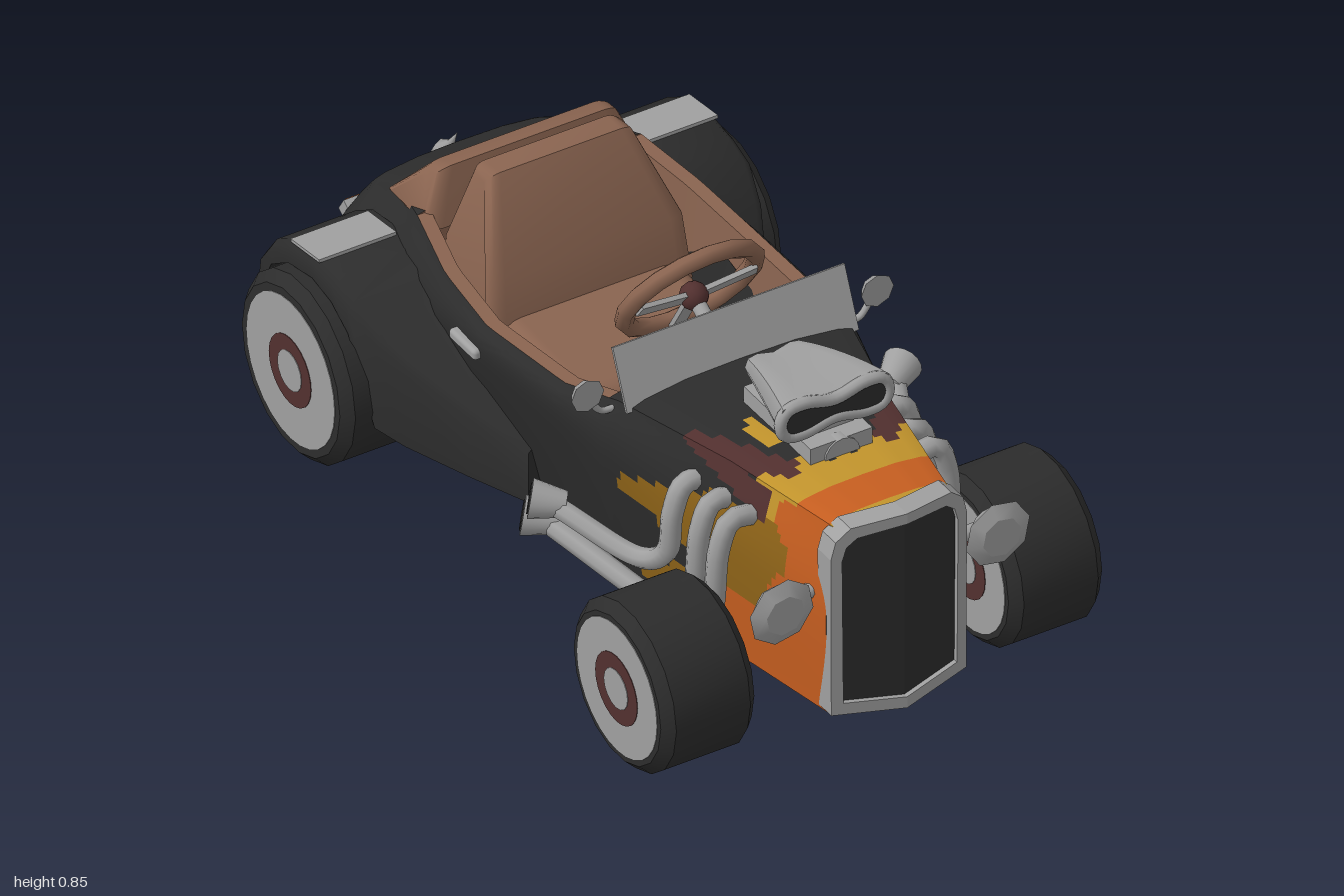
import * as THREE from 'three';
import { toCreasedNormals } from 'three/addons/utils/BufferGeometryUtils.js';
import { RoundedBoxGeometry } from 'three/addons/geometries/RoundedBoxGeometry.js';

const mat = (name, color) => new THREE.MeshStandardMaterial({ name, color });
const V3 = (x, y, z) => new THREE.Vector3(x, y, z);
const V2 = (x, y) => new THREE.Vector2(x, y);

// Body stations: z, bottom y, bottom half width, widest half width, its y, shoulder half width, shoulder y, crown
const STATIONS = [
  [0.945, 0.13, 0.168, 0.175, 0.42, 0.145, 0.62, 0.015],
  [0.6, 0.14, 0.24, 0.25, 0.45, 0.21, 0.62, 0.018],
  [0.27, 0.14, 0.285, 0.335, 0.49, 0.295, 0.612, 0.022],
  [0.1, 0.14, 0.285, 0.355, 0.49, 0.33, 0.57, 0.02],
  [-0.2, 0.15, 0.29, 0.368, 0.47, 0.345, 0.545, 0.02],
  [-0.4, 0.17, 0.29, 0.36, 0.45, 0.33, 0.56, 0.02],
  [-0.58, 0.19, 0.28, 0.34, 0.45, 0.29, 0.59, 0.02],
  [-0.75, 0.22, 0.27, 0.32, 0.42, 0.24, 0.555, 0.02],
  [-0.87, 0.24, 0.27, 0.305, 0.37, 0.22, 0.485, 0.02],
  [-0.935, 0.25, 0.26, 0.29, 0.33, 0.22, 0.405, 0.01],
  [-0.965, 0.27, 0.25, 0.27, 0.3, 0.22, 0.34, 0],
];
const COCKPIT_FRONT = 0.24, COCKPIT_BACK = -0.58, FLOOR = 0.3;

function stationAt(z) {
  let i = 0;
  while (i < STATIONS.length - 2 && z < STATIONS[i + 1][0]) i++;
  const a = STATIONS[i], b = STATIONS[i + 1], t = (a[0] - z) / (a[0] - b[0]);
  return a.map((v, k) => v + (b[k] - v) * t);
}

function bodyRing(z, open) {
  const [, yb, wb, ws, ym, wr, yt, crown] = stationAt(z);
  const side = new THREE.SplineCurve([V2(wb, yb), V2(ws, ym), V2(wr, yt)]).getPoints(24);
  const p4 = open ? V2(wr - 0.035, yt) : V2(wr * 0.88, yt + crown * 0.4);
  const p5 = open ? V2(wr - 0.05, FLOOR) : V2(wr * 0.5, yt + crown * 0.9);
  const p6 = V2(0, open ? FLOOR : yt + crown);
  const half = [V2(0, yb), ...side, p4];
  for (let k = 1; k <= 4; k++) half.push(p4.clone().lerp(p5, k / 4));
  for (let k = 1; k <= 5; k++) half.push(p5.clone().lerp(p6, k / 5));
  const mirrored = half.slice(1, -1).reverse().map((p) => V2(-p.x, p.y));
  return [...half, ...mirrored].map((p) => V3(p.x, p.y, z));
}

// Flame paint on the hood, and trim in the cockpit. 0 black, 1 orange, 2 yellow, 3 mustard, 4 maroon, 5 leather
function bodyPaint(x, y, z, j) {
  if (z < COCKPIT_FRONT && z > COCKPIT_BACK - 0.005) return j >= 25 && j < 30 ? 5 : 0;
  if (z < 0.27 || j === 0) return 0;
  const ax = Math.abs(x);
  if (j >= 24) {
    if (z > 0.925) return 2;
    if (z > 0.81) return 1;
    if (z > 0.71 + 0.03 * Math.sin(ax * 60)) return 2;
    if (z > 0.46 && Math.abs(ax - 0.13 - 0.5 * (0.72 - z)) < 0.04) return 4;
    return ax > 0.09 && ax < 0.125 && z > 0.5 && z < 0.62 ? 2 : 0;
  }
  if (z > 0.79 + 0.03 * Math.sin(y * 30)) return 1;
  if (y < 0.3 && z > 0.56) return 1;
  if (y > 0.54) return z > 0.74 ? 2 : z > 0.46 + (0.61 - y) * 3.5 ? 4 : 0;
  return z > 0.43 - 0.13 * Math.cos((y - 0.22) * 30) ? 3 : 0;
}

function bodyGeometry() {
  const rings = [];
  const run = (from, to, n, open) => {
    for (let i = 0; i <= n; i++) rings.push(bodyRing(from + ((to - from) * i) / n, open));
  };
  run(0.945, COCKPIT_FRONT, 54, false);
  run(COCKPIT_FRONT - 0.001, COCKPIT_BACK, 24, true);
  run(COCKPIT_BACK - 0.001, -0.965, 20, false);
  rings.unshift(rings[0].map((p) => V3(0, 0.4, p.z)));
  rings.push(rings[rings.length - 1].map((p) => V3(0, 0.3, p.z)));
  const n = rings[0].length, half = n / 2, lists = [[], [], [], [], [], []];
  for (let i = 0; i < rings.length - 1; i++) for (let j = 0; j < n; j++) {
    const k = (j + 1) % n, a = i * n + j, b = i * n + k, d = a + n, c = b + n;
    const m = rings[i][j].clone().add(rings[i + 1][k]).multiplyScalar(0.5);
    const paint = i === 0 ? 0 : bodyPaint(m.x, m.y, m.z, j < half ? j : n - 1 - j);
    lists[paint].push(a, d, c, a, c, b);
  }
  const g = new THREE.BufferGeometry().setFromPoints(rings.flat());
  g.setIndex(lists.flat());
  let start = 0;
  lists.forEach((l, k) => { g.addGroup(start, l.length, k); start += l.length; });
  return toCreasedNormals(g, 0.7);
}

// Rear fender: z, outer x, top y, lowest y, rise towards the body; the underside follows the wheel
function fenderGeometry() {
  const rows = [[-0.05, 0.33, 0.3, 0.15, 0.12], [-0.2, 0.395, 0.33, 0.155, 0.12], [-0.35, 0.465, 0.39, 0.17, 0.1], [-0.42, 0.5, 0.43, 0.19, 0.08],
    [-0.5, 0.52, 0.485, 0.2, 0.035], [-0.57, 0.52, 0.51, 0.2, 0.01], [-0.65, 0.52, 0.52, 0.2, 0], [-0.75, 0.52, 0.505, 0.2, 0],
    [-0.82, 0.52, 0.46, 0.2, 0], [-0.88, 0.51, 0.385, 0.2, 0], [-0.91, 0.5, 0.27, 0.22, 0]];
  const pts = [], idx = [];
  for (const [z, xo, yt, yl, rise] of rows) {
    const dz = Math.abs(z + 0.655);
    const yb = dz < 0.235 ? 0.23 + Math.sqrt(0.0552 - dz * dz) : yl;
    pts.push(V3(0.26, yb, z), V3(xo, Math.min(yb, yt - 0.01), z), V3(xo, yt - 0.015, z), V3(xo - 0.015, yt, z), V3(0.3, yt + rise, z));
  }
  for (let i = 0; i < rows.length - 1; i++) for (let j = 0; j < 5; j++) {
    const a = i * 5 + j, b = i * 5 + ((j + 1) % 5);
    idx.push(a, a + 5, b + 5, a, b + 5, b);
  }
  const e = (rows.length - 1) * 5;
  for (let j = 1; j < 4; j++) idx.push(0, j, j + 1, e, e + j + 1, e + j);
  const g = new THREE.BufferGeometry().setFromPoints(pts);
  g.setIndex(idx);
  return toCreasedNormals(g, 0.9);
}

// Side profile of [z, y] points pushed across x, narrowing towards the top
function upholstery(points, width, y0, taper) {
  const g = new THREE.ExtrudeGeometry(new THREE.Shape(points.map((p) => V2(...p))),
    { depth: width - 0.08, bevelSize: 0.02, bevelThickness: 0.04, bevelSegments: 4 });
  g.translate(0, 0, 0.04 - width / 2).rotateY(-Math.PI / 2);
  const p = g.attributes.position;
  for (let i = 0; i < p.count; i++) p.setX(i, p.getX(i) * (1 - taper * Math.max(0, p.getY(i) - y0)));
  return toCreasedNormals(g, 0.9);
}

export function createModel() {
  const car = new THREE.Group();
  const black = mat('black', 0x2c2c2c), chrome = mat('chrome', 0xa0a0a0), leather = mat('leather', 0x8a6450);
  const orange = mat('orange', 0xc65e20), yellow = mat('yellow', 0xc2942c), mustard = mat('mustard', 0x8f6418), maroon = mat('maroon', 0x52302f);
  const add = (name, geo, m, x = 0, y = 0, z = 0, rx = 0, ry = 0, rz = 0, parent = car) => {
    const mesh = new THREE.Mesh(geo, m);
    mesh.name = name;
    mesh.position.set(x, y, z);
    mesh.rotation.set(rx, ry, rz);
    parent.add(mesh);
    return mesh;
  };
  const box = (w, h, d) => new THREE.BoxGeometry(w, h, d);
  const cyl = (r1, r2, h, n = 16) => new THREE.CylinderGeometry(r1, r2, h, n);
  const tube = (pts, r, closed = false, n = 32) => new THREE.TubeGeometry(
    new THREE.CatmullRomCurve3(pts.map((p) => V3(...p)), closed), n, r, 8, closed);

  add('body', bodyGeometry(), [black, orange, yellow, mustard, maroon, leather]);

  // Wheels
  const wheel = (x, r, z, disc) => {
    const g = new THREE.Group();
    g.name = 'wheel';
    g.position.set(x, r, z);
    g.rotation.z = -Math.PI / 2;
    const profile = [[0.05, -0.121], [r - 0.025, -0.121], [r, -0.096], [r, 0.096], [r - 0.025, 0.121], [0.05, 0.121]];
    add('tyre', toCreasedNormals(new THREE.LatheGeometry(profile.map((p) => V2(...p)), 18), 0.5), black, 0, 0, 0, 0, 0, 0, g);
    add('wheelDisc', cyl(disc, disc, 0.245, 28), chrome, 0, 0, 0, 0, 0, 0, g);
    add('wheelRing', cyl(0.088, 0.088, 0.248, 24), maroon, 0, 0, 0, 0, 0, 0, g);
    add('hubCap', cyl(0.05, 0.05, 0.251), chrome, 0, 0, 0, 0, 0, 0, g);
    car.add(g);
  };
  for (const s of [1, -1]) {
    wheel(s * 0.45, 0.207, 0.71, 0.168);
    wheel(s * 0.45, 0.23, -0.655, 0.185);
  }

  // Seat, rear cushion and upholstered back
  add('seatCushion', new RoundedBoxGeometry(0.49, 0.14, 0.42, 3, 0.06), leather, 0, 0.355, -0.2, 0.06);
  add('seatBack', upholstery([[-0.33, 0.38], [-0.355, 0.53], [-0.46, 0.715], [-0.5, 0.71], [-0.525, 0.55], [-0.525, 0.38]], 0.53, 0.5, 1.3), leather);
  add('rearCushion', upholstery([[-0.575, 0.57], [-0.6, 0.665], [-0.625, 0.66], [-0.71, 0.575]], 0.56, 0.57, 1.6), leather);

  // Windshield and steering wheel
  add('windshield', box(0.6, 0.155, 0.008), chrome, 0, 0.675, 0.28, -0.4);
  const steering = new THREE.Group();
  steering.name = 'steeringWheel';
  steering.position.set(0, 0.695, 0.09);
  steering.rotation.x = 0.53;
  add('steeringRim', new THREE.TorusGeometry(0.163, 0.022, 8, 16), leather, 0, 0, 0, 0, 0, 0, steering);
  for (const a of [0.2, Math.PI - 0.2, -Math.PI / 2])
    add('steeringSpoke', box(0.15, 0.034, 0.012), chrome, 0.08 * Math.cos(a), 0.08 * Math.sin(a), 0.02, 0, 0, a, steering);
  add('steeringHub', new THREE.SphereGeometry(0.034, 12, 8), maroon, 0, 0, 0.02, 0, 0, 0, steering);
  add('steeringColumn', cyl(0.018, 0.018, 0.18), chrome, 0, 0, 0.12, Math.PI / 2, 0, 0, steering);
  car.add(steering);

  // Radiator shell: two halves swept back from a centre ridge
  const outer = [[0, 0.115], [0.175, 0.138], [0.176, 0.56], [0.165, 0.605], [0.13, 0.635], [0, 0.642]];
  const inner = [[0, 0.145], [0.147, 0.165], [0.15, 0.55], [0.14, 0.585], [0.115, 0.605], [0, 0.614]];
  for (const s of [1, -1]) {
    const half = (pts, depth, z) => {
      const g = new THREE.ExtrudeGeometry(new THREE.Shape(pts.map((p) => V2(s * p[0], p[1]))), { depth, bevelEnabled: false });
      const p = g.attributes.position;
      for (let i = 0; i < p.count; i++) p.setZ(i, p.getZ(i) + z - 0.2 * Math.abs(p.getX(i)));
      g.computeVertexNormals();
      return g;
    };
    add('grilleFrame', half([...outer, ...[...inner].reverse()], 0.055, 0.945), chrome);
    add('grillePanel', half(inner, 0.03, 0.958), black);
  }

  // Air scoop on its base
  const rightEdge = [[0, 0.72], [0.08, 0.705], [0.125, 0.712], [0.14, 0.745], [0.125, 0.778], [0.08, 0.785], [0, 0.768]];
  const outline = [...rightEdge, ...rightEdge.slice(1, -1).reverse().map(([x, y]) => [-x, y])];
  const scoopShape = new THREE.Shape(outline.map((p) => V2(...p)));
  const scoop = new THREE.ExtrudeGeometry(scoopShape, { depth: 0.26, steps: 8, bevelEnabled: false }).translate(0, 0, 0.44);
  const sp = scoop.attributes.position;
  for (let i = 0; i < sp.count; i++) {
    const t = (0.7 - sp.getZ(i)) / 0.26;
    sp.setXY(i, sp.getX(i) * (1.08 - 0.55 * t), 0.69 + (sp.getY(i) - 0.695) * (1.2 - 0.55 * t * t));
  }
  add('airScoop', toCreasedNormals(scoop, 0.9), chrome);
  add('scoopLip', tube(outline.map(([x, y]) => [x, y, 0.695]), 0.015, true, 48), chrome);
  add('scoopOpening', new THREE.ShapeGeometry(scoopShape), black, 0, 0, 0.703);
  add('scoopBase', box(0.16, 0.045, 0.28), chrome, 0, 0.655, 0.585);
  add('scoopNeck', box(0.12, 0.04, 0.2), chrome, 0, 0.69, 0.58);
  add('scoopPulley', cyl(0.045, 0.045, 0.03), chrome, 0, 0.635, 0.715, Math.PI / 2);

  // Rear bumper and tail ornament
  add('rearBumper', tube([[-0.3, 0.3, -0.9], [-0.28, 0.28, -0.95], [-0.15, 0.275, -0.975], [0.15, 0.275, -0.975], [0.28, 0.28, -0.95], [0.3, 0.3, -0.9]], 0.025), chrome);
  add('tailOrnament', new THREE.LatheGeometry([[0, -0.06], [0.028, -0.025], [0.028, 0.005], [0.009, 0.04], [0, 0.095]].map((p) => V2(...p)), 8), chrome, 0, 0.44, -0.93, 0.55);

  // Paired fittings
  const fender = fenderGeometry();
  for (const s of [1, -1]) {
    const side = new THREE.Group();
    side.name = s > 0 ? 'leftFittings' : 'rightFittings';
    side.scale.x = s;
    car.add(side);
    const put = (name, geo, m, ...at) => add(name, geo, m, ...Object.assign([0, 0, 0, 0, 0, 0], at), side);
    put('rearFender', fender, black);
    put('fenderPlate', box(0.2, 0.008, 0.12), chrome, 0.416, 0.515, -0.685, -0.13);
    put('headlight', cyl(0.082, 0.03, 0.055, 8), chrome, 0.28, 0.437, 0.9, Math.PI / 2, 0.2);
    put('headlightLens', cyl(0.05, 0.084, 0.018, 8), chrome, 0.28, 0.437, 0.936, Math.PI / 2, 0.2);
    put('headlightStalk', cyl(0.018, 0.018, 0.12, 8), chrome, 0.21, 0.437, 0.89, 0, 0, Math.PI / 2);
    put('mirror', cyl(0.042, 0.03, 0.02, 8), chrome, 0.375, 0.655, 0.26, Math.PI / 2);
    put('mirrorArm', tube([[0.3, 0.59, 0.26], [0.335, 0.595, 0.26], [0.36, 0.625, 0.26]], 0.008), chrome);
    put('doorHandle', new RoundedBoxGeometry(0.03, 0.028, 0.11, 2, 0.01), chrome, 0.37, 0.48, -0.245);
    put('tailLightFrame', box(0.11, 0.04, 0.02), chrome, 0.2, 0.37, -0.948, 0.55);
    put('tailLight', box(0.09, 0.028, 0.008), orange, 0.2, 0.373, -0.958, 0.55);
    // Exhaust headers and the two outlets
    for (const z of [0.69, 0.61])
      put('exhaustPipe', tube([[0.2, 0.53, z], [0.265, 0.535, z], [0.295, 0.47, z], [0.305, 0.28, z - 0.02], [0.315, 0.2, z - 0.1], [0.345, 0.22, 0.44], [0.42, 0.275, 0.2]], 0.025), chrome);
    put('exhaustPipe', tube([[0.2, 0.53, 0.52], [0.28, 0.535, 0.52], [0.31, 0.47, 0.52], [0.32, 0.36, 0.51], [0.345, 0.315, 0.45], [0.435, 0.36, 0.25]], 0.025), chrome);
    for (const [x, y, z] of [[0.435, 0.285, 0.17], [0.45, 0.37, 0.225]]) {
      const tip = put('exhaustTip', cyl(0.046, 0.03, 0.08), chrome, x, y, z);
      tip.quaternion.setFromUnitVectors(V3(0, 1, 0), V3(0.8, 0.15, -0.58).normalize());
      add('exhaustOpening', cyl(0.035, 0.035, 0.006), black, 0, 0.04, 0, 0, 0, 0, tip);
    }
  }
  return car;
}
